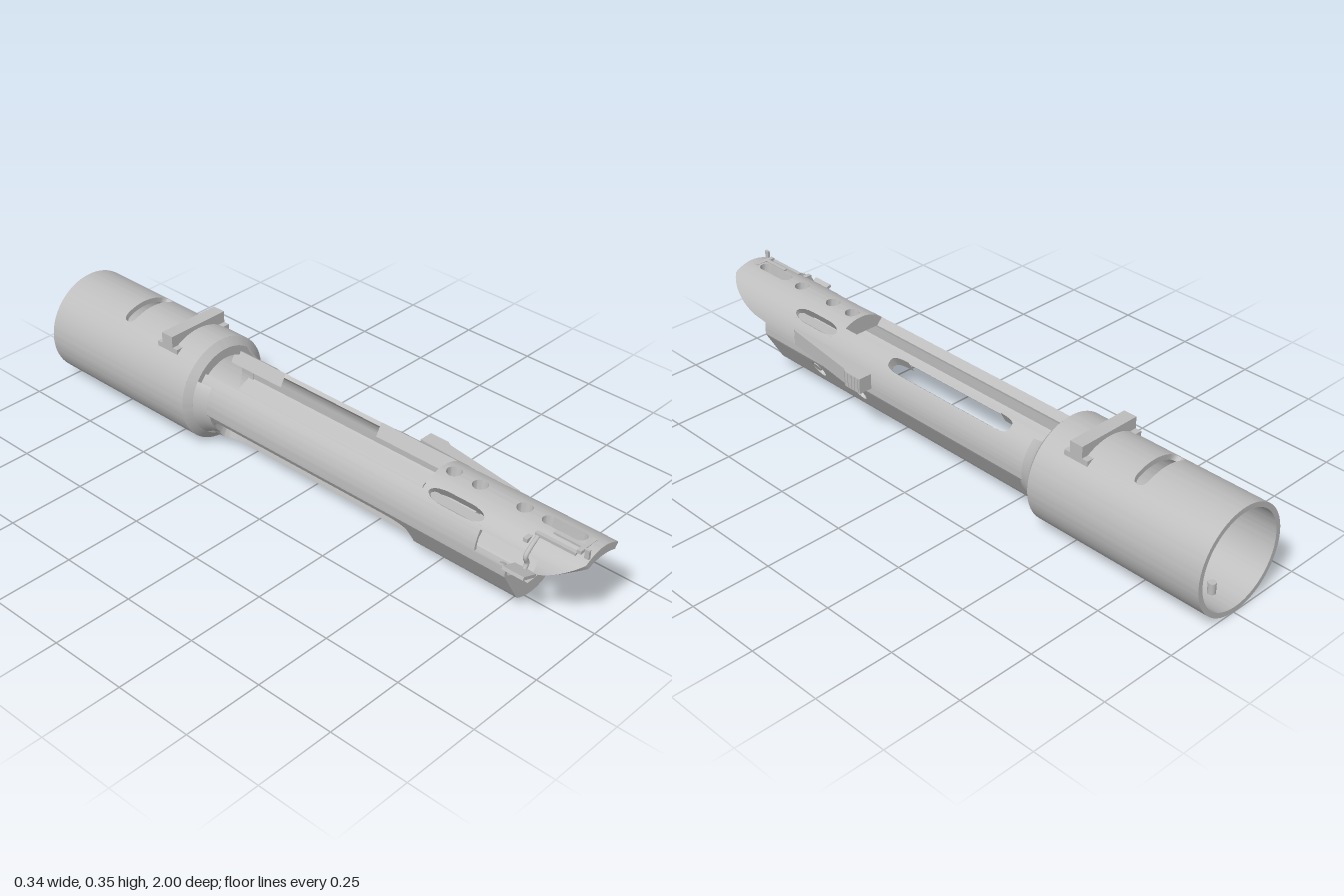
import * as THREE from 'three';
import { toCreasedNormals } from 'three/addons/utils/BufferGeometryUtils.js';

const grey = new THREE.MeshStandardMaterial({ color: 0xbdbdbd });
grey.name = 'metal grey';
grey.side = THREE.DoubleSide;

const TAU = Math.PI * 2;
const START = -1.6; // seam angle; angles run from straight up towards +x

// Half length of a hole at angle a: hole = [angle, halfAngle, z, halfZ, endRounding, squareness]
function holeHalf([a0, ha, , hz, r, n = 2], a) {
  const t = Math.min(1, Math.abs(a - a0) / ha);
  return hz - r + r * Math.sqrt(1 - t ** n);
}

// Hollow shell along z with holes cut through its wall
function shell({ outer, inner, back, front, bevel = () => 0, holes = [] }) {
  const angles = [];
  for (let i = 0; i <= 120; i++) angles.push(START + (TAU * i) / 120);
  const edges = [];
  for (const [a, ha] of holes) {
    for (let i = 0; i <= 10; i++) angles.push(a - ha * Math.cos((Math.PI * i) / 10));
    edges.push(a - ha, a + ha);
  }
  angles.sort((a, b) => a - b);
  const list = angles.filter((a, i) => i === 0 || a - angles[i - 1] > 1e-6);
  const isEdge = (a) => edges.some((e) => Math.abs(e - a) < 1e-5);
  const pos = [];
  const P = (r, a, z) => [r * Math.sin(a), r * Math.cos(a), z];
  const quad = (a, b, c, d) => pos.push(...a, ...b, ...c, ...a, ...c, ...d);

  for (let i = 0; i < list.length - 1; i++) {
    const a = [list[i], list[i + 1]];
    const mid = (a[0] + a[1]) / 2;
    const active = holes.filter((h) => Math.abs(mid - h[0]) < h[1]).sort((p, q) => p[2] - p[3] - q[2] + q[3]);
    // solid stretches between the holes, as [from, to] at both sides of the strip
    let lo = a.map(() => back);
    const end = a.map((v) => front(v));
    const solid = [];
    for (const h of active) {
      const from = a.map((v, k) => Math.min(h[2] - holeHalf(h, v), end[k]));
      if (from[0] > lo[0] + 1e-4 || from[1] > lo[1] + 1e-4) solid.push([lo, from, from]);
      lo = a.map((v, k) => Math.max(lo[k], h[2] + holeHalf(h, v)));
    }
    if (lo[0] < end[0] - 1e-4 && lo[1] < end[1] - 1e-4) {
      solid.push([lo, end, end.map((e, k) => Math.max(lo[k], e - bevel(a[k])))]);
    }
    for (const [z0, z1, zi] of solid) {
      const O0 = a.map((v, k) => P(outer(v), v, z0[k]));
      const O1 = a.map((v, k) => P(outer(v), v, z1[k]));
      const M1 = a.map((v, k) => P((outer(v) + inner(v)) / 2, v, z1[k]));
      const I0 = a.map((v, k) => P(inner(v), v, z0[k]));
      const I1 = a.map((v, k) => P(inner(v), v, zi[k]));
      quad(O0[0], O1[0], O1[1], O0[1]);
      quad(I0[0], I0[1], I1[1], I1[0]);
      quad(O1[0], M1[0], M1[1], O1[1]);
      quad(M1[0], I1[0], I1[1], M1[1]);
      quad(O0[0], O0[1], I0[1], I0[0]);
      if (isEdge(a[0])) quad(O0[0], I0[0], I1[0], O1[0]);
      if (isEdge(a[1])) quad(O0[1], O1[1], I1[1], I0[1]);
    }
  }
  const g = new THREE.BufferGeometry();
  g.setAttribute('position', new THREE.Float32BufferAttribute(pos, 3));
  return toCreasedNormals(g, 0.4);
}

// Body outside: round top, flat sides, slanted lower flats, round bottom
function bodyOuter(a) {
  const s = Math.abs(Math.sin(a)), c = Math.cos(a);
  if (c > 0) return 0.124;
  const slant = 0.861 * s - 0.509 * c;
  return Math.min(0.137, s > 0.01 ? 0.124 / s : 1, 0.1154 / slant);
}

// Body inside: mirrored cradle section, hit by a ray at angle a
const CRADLE = [[0, 0.07], [0.086, 0.07], [0.114, 0.04], [0.114, -0.017], [0.07, -0.037], [0.02, -0.097], [0, -0.097]];
function bodyInner(a) {
  const s = Math.abs(Math.sin(a)), c = Math.cos(a);
  for (let i = 0; i < CRADLE.length - 1; i++) {
    const [x0, y0] = CRADLE[i], [x1, y1] = CRADLE[i + 1];
    const k0 = x0 * c - y0 * s, k1 = x1 * c - y1 * s;
    if (k0 <= 1e-9 && k1 >= -1e-9) {
      const t = k1 - k0 < 1e-9 ? 0 : -k0 / (k1 - k0);
      const r = Math.hypot(x0 + (x1 - x0) * t, y0 + (y1 - y0) * t);
      return Math.min(r, bodyOuter(a) - 0.008);
    }
  }
  return 0.097;
}

// Front edge: square below, sweeping forward into the nose above
function bodyFront(a) {
  const t = (bodyOuter(a) * Math.cos(a) - 0.023) / 0.08;
  return 0.79 + 0.21 * Math.sqrt(Math.min(1, Math.max(0, t)));
}

export function createModel() {
  const model = new THREE.Group();
  model.name = 'slottedChassis';
  const root = new THREE.Group();
  root.name = 'chassis';
  root.position.set(-0.006, 0.167, 0);
  model.add(root);
  const add = (name, geo, x = 0, y = 0, z = 0) => {
    const m = new THREE.Mesh(geo, grey);
    m.name = name;
    m.position.set(x, y, z);
    root.add(m);
    return m;
  };
  const box = (name, w, h, d, x, y, z) => add(name, new THREE.BoxGeometry(w, h, d), x, y, z);
  const round = (a, z, r, R) => [a, r / R, z, r, r];
  const points = (list) => list.map(([x, y]) => new THREE.Vector2(x, y));

  // Rear sleeve with a cross slot on top and drain holes below
  add('rearSleeve', shell({
    outer: () => 0.166, inner: () => 0.15, back: -1, front: () => -0.4,
    holes: [[0, 0.57, -0.72, 0.021, 0.021, 10], round(3.1, -0.5, 0.011, 0.166), round(3.1, -0.62, 0.011, 0.166)],
  }));

  // Chamfered collar joining sleeve and body, with flared shoulders at the sides
  const collar = points([[0.166, -0.4], [0.142, -0.38], [0.112, -0.38], [0.112, -0.43], [0.15, -0.43]]);
  add('collar', toCreasedNormals(new THREE.LatheGeometry(collar, 120).rotateX(Math.PI / 2), 0.4));
  const flare = points([[0.142, -0.38], [0.131, -0.36], [0.122, -0.33]]);
  for (const side of [1, -1]) {
    add('shoulder', new THREE.LatheGeometry(flare, 24, side * Math.PI / 2 - 0.6, 1.5).rotateX(Math.PI / 2));
  }

  // Long open body with roof and nose
  const holes = [
    [-0.11, 0.63, 0.03, 0.44, 0],          // open top
    [0.71, 0.19, 0, 0.25, 0.06, 4],        // relief in one rail
    [3.89, 0.5, 0.045, 0.385, 0.07, 4],    // long lower side slot
    [-1.2, 0.25, 0.78, 0.095, 0],          // notch behind the nose
    [0, 0.16, 0.88, 0.07, 0.02],           // nose slot
    [-0.72, 0.17, 0.585, 0.095, 0.06],     // roof pockets
    [0.72, 0.17, 0.585, 0.095, 0.06],
  ];
  for (const z of [0.51, 0.6, 0.75]) holes.push(round(0, z, 0.023, 0.124));
  for (const z of [0.56, 0.37]) holes.push([2.08, 0.3, z, 0.024, 0.024]);
  for (const z of [0.69, 0.56, 0.26, -0.02, -0.27]) holes.push(round(3.1, z, 0.011, 0.137));
  add('body', shell({
    outer: bodyOuter, inner: bodyInner, back: -0.4, front: bodyFront,
    bevel: (a) => 0.12 * Math.max(0, Math.cos(a)), holes,
  }));
  for (const side of [1, -1]) box('pocketFloor', 0.036, 0.006, 0.19, side * 0.077, 0.077, 0.585);

  // Small pins seen in the side holes
  for (const z of [0.56, 0.37]) {
    const pin = add('sidePin', new THREE.CylinderGeometry(0.016, 0.016, 0.03, 20), 0.094, -0.04, z);
    pin.rotation.z = -2.08;
  }

  // Inverted T rail across the sleeve
  const tee = new THREE.Shape(points([[-0.042, 0.12], [0.042, 0.12], [0.042, 0.143], [0.022, 0.143],
    [0.022, 0.18], [-0.022, 0.18], [-0.022, 0.143], [-0.042, 0.143]]));
  add('crossRail', new THREE.ExtrudeGeometry(tee, { depth: 0.215, bevelEnabled: false }).rotateY(Math.PI / 2),
    -0.107, 0, -0.52);

  // Tapered side catch with a ribbed thumb end
  const wedge = new THREE.Shape(points([[0.112, 0.66], [0.126, 0.64], [0.166, 0.36], [0.175, 0.345],
    [0.175, 0.28], [0.13, 0.28], [0.122, 0.42], [0.112, 0.5]]));
  add('sideCatch', new THREE.ExtrudeGeometry(wedge, { depth: 0.05, bevelEnabled: false }).rotateX(Math.PI / 2), 0, 0.058);
  for (let i = 0; i < 4; i++) box('catchRib', 0.004, 0.046, 0.007, 0.175, 0.033, 0.29 + i * 0.015);

  // Small lever on the other side of the nose
  const plate = box('leverPlate', 0.058, 0.01, 0.07, -0.132, 0.034, 0.84);
  plate.rotation.z = -0.35;
  const arm = new THREE.CatmullRomCurve3([[-0.108, 0.028], [-0.1, 0.045], [-0.108, 0.068], [-0.09, 0.088], [-0.06, 0.108]]
    .map(([x, y]) => new THREE.Vector3(x, y, 0.84)));
  add('leverArm', new THREE.TubeGeometry(arm, 20, 0.007, 8));

  // Spring clip lying on the nose
  box('clipBar', 0.07, 0.01, 0.014, -0.02, 0.12, 0.965);
  box('clipArm', 0.012, 0.012, 0.13, -0.055, 0.111, 0.895);
  box('clipArm', 0.012, 0.012, 0.1, -0.03, 0.119, 0.92);
  box('clipFoot', 0.036, 0.012, 0.014, -0.07, 0.1, 0.82);
  box('clipTip', 0.008, 0.028, 0.014, -0.053, 0.126, 0.99);

  // Boss under the roof and locating pin inside the sleeve
  add('roofBoss', new THREE.CylinderGeometry(0.022, 0.022, 0.025, 24, 1, true), 0, 0.078, 0.75);
  add('sleevePin', new THREE.CylinderGeometry(0.012, 0.012, 0.04, 20), 0, -0.135, -0.92);
  return model;
}
